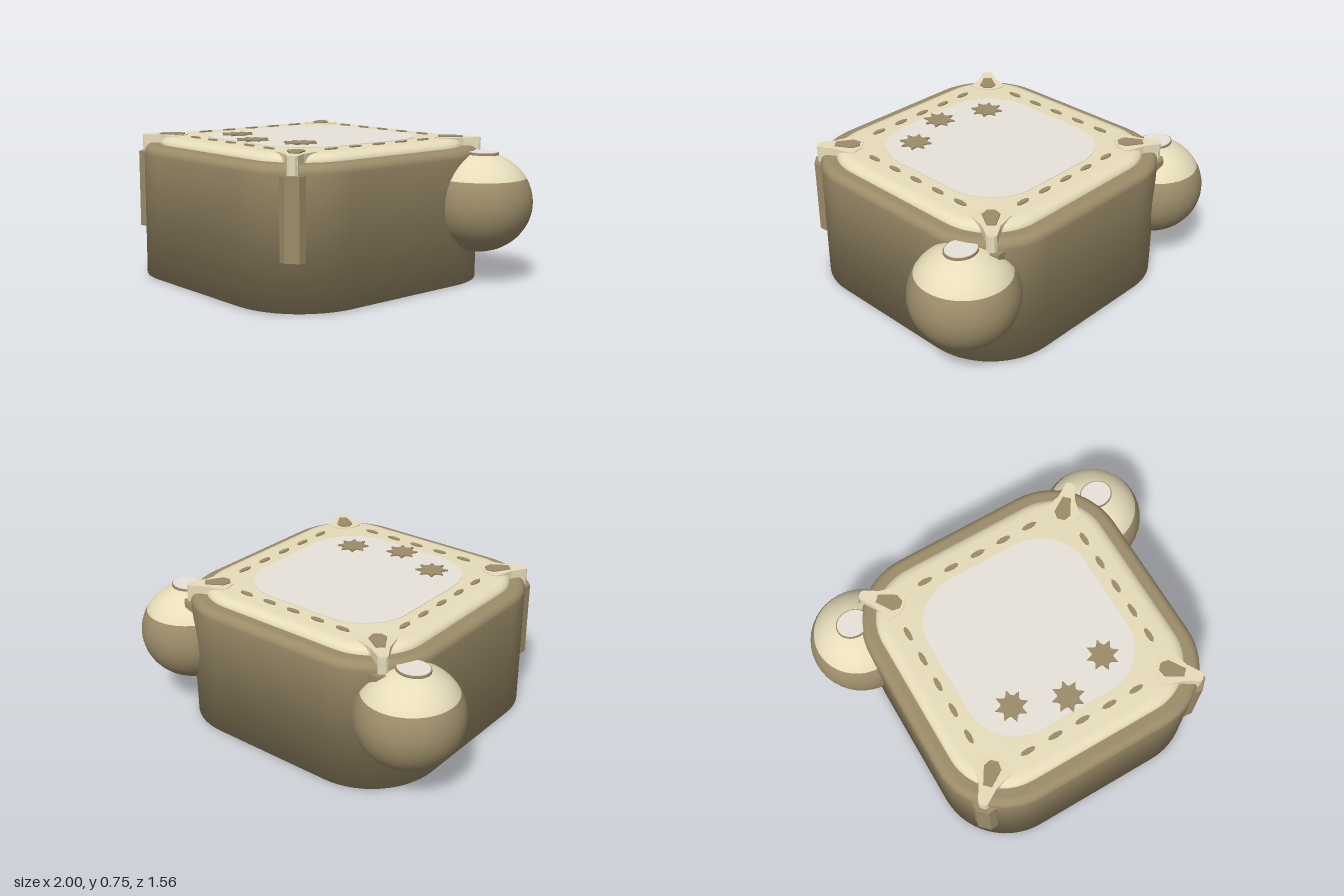
import * as THREE from 'three';
import { toCreasedNormals } from 'three/addons/utils/BufferGeometryUtils.js';

export function createModel() {
  const material = (name, color) => {
    const m = new THREE.MeshStandardMaterial({ color });
    m.name = name;
    return m;
  };
  const brown = material('brown', 0x9c8c69);
  const cream = material('cream', 0xe9dfbc);
  const grey = material('pale grey', 0xe7e3db);

  const model = new THREE.Group();
  model.name = 'squareBox';
  const add = (name, geometry, mat, x = 0, y = 0, z = 0, parent = model) => {
    const mesh = new THREE.Mesh(geometry, mat);
    mesh.name = name;
    mesh.position.set(x, y, z);
    parent.add(mesh);
    return mesh;
  };

  // Rounded-square solid from stacked rings; profile entries are [inset, y].
  const roundedSolid = (hw, hd, radius, profile) => {
    const steps = 14, n = 4 * (steps + 1), pos = [], index = [];
    for (const [inset, y] of profile) {
      const r = radius - inset;
      for (let q = 0; q < 4; q++) {
        const cx = (q === 0 || q === 3 ? 1 : -1) * (hw - radius);
        const cz = (q < 2 ? 1 : -1) * (hd - radius);
        for (let i = 0; i <= steps; i++) {
          const a = (q + i / steps) * Math.PI / 2;
          pos.push(cx + r * Math.cos(a), y, cz + r * Math.sin(a));
        }
      }
    }
    const last = profile.length - 1, top = last * n;
    for (let i = 0; i < n; i++) {
      const j = (i + 1) % n;
      for (let k = 0; k < last; k++) {
        const a = k * n + i, b = k * n + j;
        index.push(a, a + n, b, b, a + n, b + n);
      }
    }
    // Caps: strips between points mirrored across the x axis
    for (let i = 0; i < n / 2 - 1; i++) {
      const j = i + 1, a = n - 1 - i, b = n - 2 - i;
      index.push(i, j, a, j, b, a, top + i, top + a, top + j, top + j, top + a, top + b);
    }
    const g = new THREE.BufferGeometry();
    g.setAttribute('position', new THREE.Float32BufferAttribute(pos, 3));
    g.setIndex(index);
    return g;
  };
  const creasedSolid = (...args) => toCreasedNormals(roundedSolid(...args), 0.6);

  // Quarter-round top edge for a profile.
  const roundEdge = (width, height, top, steps = 6) =>
    Array.from({ length: steps + 1 }, (_, i) => {
      const a = (i / steps) * Math.PI / 2;
      return [width * (1 - Math.cos(a)), top - height * (1 - Math.sin(a))];
    });

  // Flat outline in x/z raised upward from y = 0.
  const plate = (points, depth) => {
    const shape = new THREE.Shape(points.map(([x, z]) => new THREE.Vector2(x, z)));
    const g = new THREE.ExtrudeGeometry(shape, { depth, bevelEnabled: false });
    return g.rotateX(Math.PI / 2).translate(0, depth, 0);
  };
  // Plate mirrored left to right from one half of its outline.
  const mirroredPlate = (half, depth) =>
    plate([...half, ...half.map(([x, z]) => [-x, z]).reverse()], depth);

  // Body, with wall normals that turn gradually under the bottom edge
  const bodyEdge = roundEdge(0.045, 0.045, 0.703);
  const body = roundedSolid(0.74, 0.74, 0.38, [[0, 0.004], ...bodyEdge]);
  const ringSize = body.attributes.position.count / (bodyEdge.length + 1);
  const normals = [];
  for (let k = 0; k <= bodyEdge.length; k++) {
    const rise = k === 0 ? -Math.PI / 4 : (k - 1) / (bodyEdge.length - 1) * Math.PI / 2;
    for (let i = 0; i < ringSize; i++) {
      const q = Math.floor(i / (ringSize / 4)), step = i % (ringSize / 4);
      const a = (q + step / (ringSize / 4 - 1)) * Math.PI / 2;
      normals.push(Math.cos(a) * Math.cos(rise), Math.sin(rise), Math.sin(a) * Math.cos(rise));
    }
  }
  body.setAttribute('normal', new THREE.Float32BufferAttribute(normals, 3));
  add('body', body, brown, 0, 0, 0.038);

  // Underside: a narrow pale border around a brown base
  add('baseBorder', creasedSolid(0.66, 0.655, 0.3, [[0, 0.002], [0, 0.006]]), cream, 0, 0, 0.035);
  add('base', creasedSolid(0.62, 0.615, 0.26, [[0, 0], [0, 0.006]]), brown, 0, 0, 0.035);

  // Lid and centre panel
  add('lid', creasedSolid(0.66, 0.655, 0.3, [[0, 0.69], ...roundEdge(0.065, 0.042, 0.742)]), cream, 0, 0, 0.035);
  add('centrePanel', creasedSolid(0.465, 0.47, 0.27, [[0, 0.738], [0, 0.745]]), grey, 0, 0, 0.03);

  // Stitches around the lid
  const stitch = plate([[-0.042, 0], [-0.03, -0.01], [0, -0.014], [0.03, -0.01], [0.042, 0], [0.03, 0.01], [0, 0.014], [-0.03, 0.01]], 0.009);
  for (let i = -2; i <= 2; i++) {
    for (const s of [-1, 1]) {
      add('stitch', stitch, brown, i * 0.157, 0.74, 0.032 + s * 0.526);
      add('stitch', stitch, brown, s * 0.527, 0.74, 0.032 + i * 0.157).rotation.y = Math.PI / 2;
    }
  }

  // Eight-pointed stars: a round disc with narrow spikes
  const starPoints = [];
  for (let i = 0; i < 8; i++) {
    for (const [offset, r] of [[-0.28, 0.056], [0, 0.086], [0.28, 0.056]]) {
      const a = i * Math.PI / 4 + offset + 0.2;
      starPoints.push([r * Math.cos(a), r * Math.sin(a)]);
    }
  }
  const star = plate(starPoints, 0.009);
  for (const [x, z] of [[-0.268, 0.32], [0, 0.42], [0.265, 0.32]]) {
    add('star', star, brown, x, 0.746, z);
  }

  // Corner clips: flared top, stem, leaf and post, facing out along the diagonal
  const clipTop = mirroredPlate([[-0.025, 0.016], [-0.045, -0.07], [-0.095, -0.155], [-0.08, -0.185], [-0.035, -0.215]], 0.045);
  const stem = mirroredPlate([[-0.025, -0.04], [-0.026, 0.012], [-0.014, 0.024]], 0.09);
  const leaf = mirroredPlate([[-0.02, -0.2], [-0.044, -0.165], [-0.022, -0.07]], 0.006);
  const post = mirroredPlate([[-0.062, -0.02], [-0.062, 0.008], [-0.034, 0.042]], 0.405);
  for (const sx of [-1, 1]) {
    for (const sz of [-1, 1]) {
      const corner = new THREE.Group();
      corner.name = 'cornerClip';
      corner.position.set(sx * 0.622, 0, 0.038 + sz * 0.622);
      corner.rotation.y = Math.atan2(sx, sz);
      model.add(corner);
      add('clipTop', clipTop, cream, 0, 0.701, 0, corner);
      add('clipStem', stem, cream, 0, 0.654, 0, corner);
      add('clipLeaf', leaf, brown, 0, 0.746, 0, corner);
      add('clipPost', post, brown, 0, 0.25, 0, corner);
    }
  }

  // Rear side balls with a pale cap and a flat disc on top
  for (const s of [-1, 1]) {
    const ball = new THREE.Group();
    ball.name = s > 0 ? 'leftBall' : 'rightBall';
    ball.position.set(s * 0.725, 0.422, -0.503);
    model.add(ball);
    const split = Math.PI / 3;
    for (const [name, mat, start, length] of [
      ['ballCap', cream, 0, split], ['ballBase', brown, split, Math.PI - split]]) {
      const g = new THREE.SphereGeometry(0.275, 40, 24, 0, Math.PI * 2, start, length);
      add(name, g.scale(1, 0.945, 1), mat, 0, 0, 0, ball);
    }
    const rim = new THREE.CylinderGeometry(0.09, 0.09, 0.012, 32).scale(1, 1, 0.86);
    add('discRim', rim, brown, s * 0.015, 0.255, 0, ball);
    const disc = new THREE.CylinderGeometry(0.084, 0.084, 0.004, 32).scale(1, 1, 0.86);
    add('disc', disc, grey, s * 0.015, 0.262, 0, ball);
  }
  return model;
}
